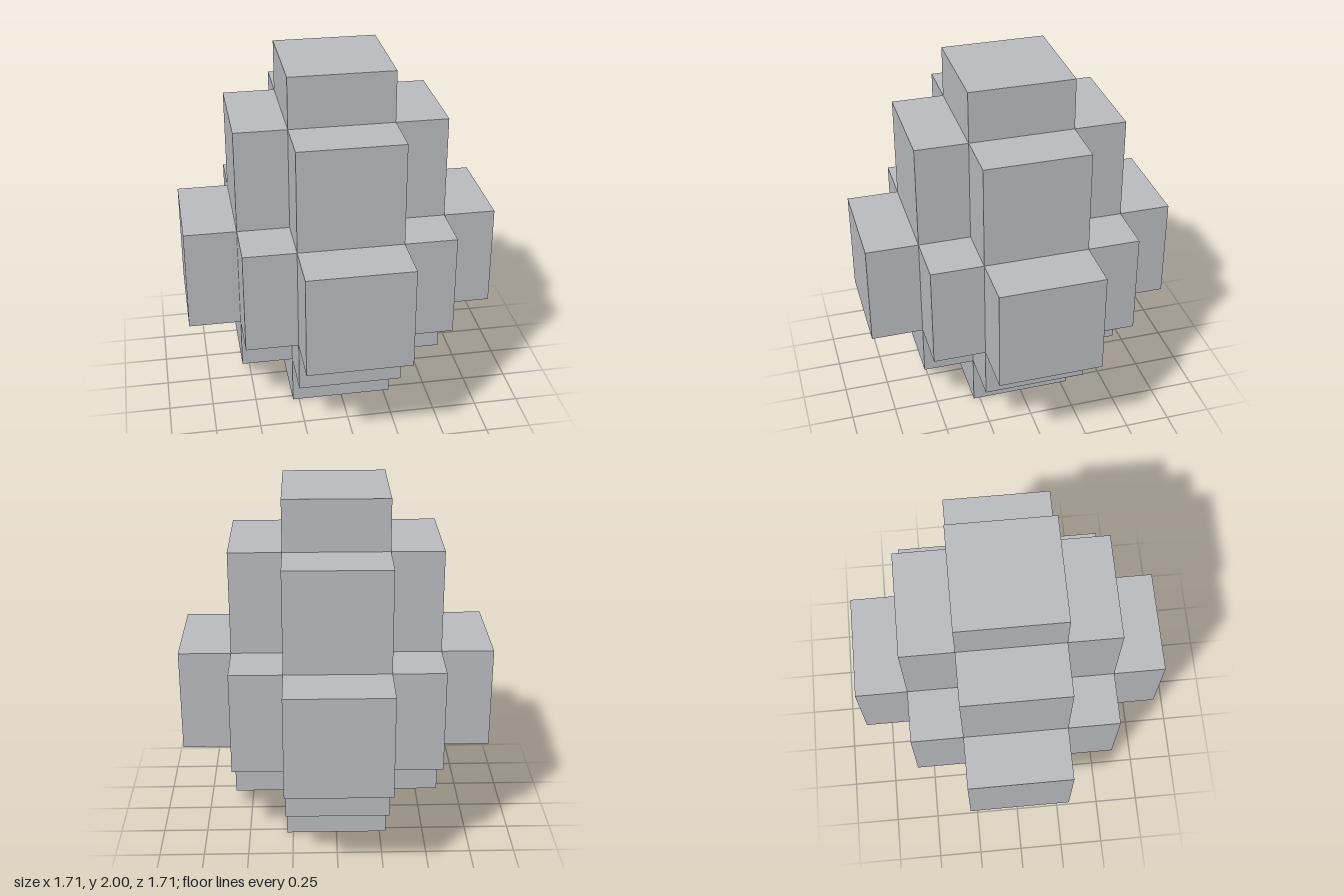
import * as THREE from 'three';

const U = 2 / 7; // edge of one grid cell

// Stepped, four-fold symmetric outline: a staircase corner turned four times
function steppedOutline(corner) {
  const points = [];
  for (let i = 0; i < 4; i++) {
    const c = Math.round(Math.cos(i * Math.PI / 2));
    const s = Math.round(Math.sin(i * Math.PI / 2));
    for (const [x, y] of corner) {
      points.push(new THREE.Vector2((x * c - y * s) * U, (x * s + y * c) * U));
    }
  }
  return new THREE.Shape(points);
}

export function createModel() {
  const group = new THREE.Group();
  group.name = 'steppedBlock';
  const grey = new THREE.MeshStandardMaterial({ color: 0xb8babf });
  grey.name = 'lightGrey';

  // Staircase corners, in cells
  const square = [[1, 1]];
  const cross = [[2, 1], [1, 1], [1, 2]];
  const wideCross = [[3, 1], [2, 1], [2, 2], [1, 2], [1, 3]];

  // Layers from the bottom up: name, corner, base and height in cells
  const layers = [
    ['foot', square, 0, 1],
    ['lowerTier', cross, 1, 1],
    ['middleTier', wideCross, 2, 2],
    ['upperTier', cross, 4, 2],
    ['cap', square, 6, 1],
  ];
  for (const [name, corner, base, height] of layers) {
    const geometry = new THREE.ExtrudeGeometry(steppedOutline(corner), {
      depth: height * U, bevelEnabled: false,
    });
    geometry.rotateX(-Math.PI / 2);
    const mesh = new THREE.Mesh(geometry, grey);
    mesh.name = name;
    mesh.position.y = base * U;
    group.add(mesh);
  }
  return group;
}
